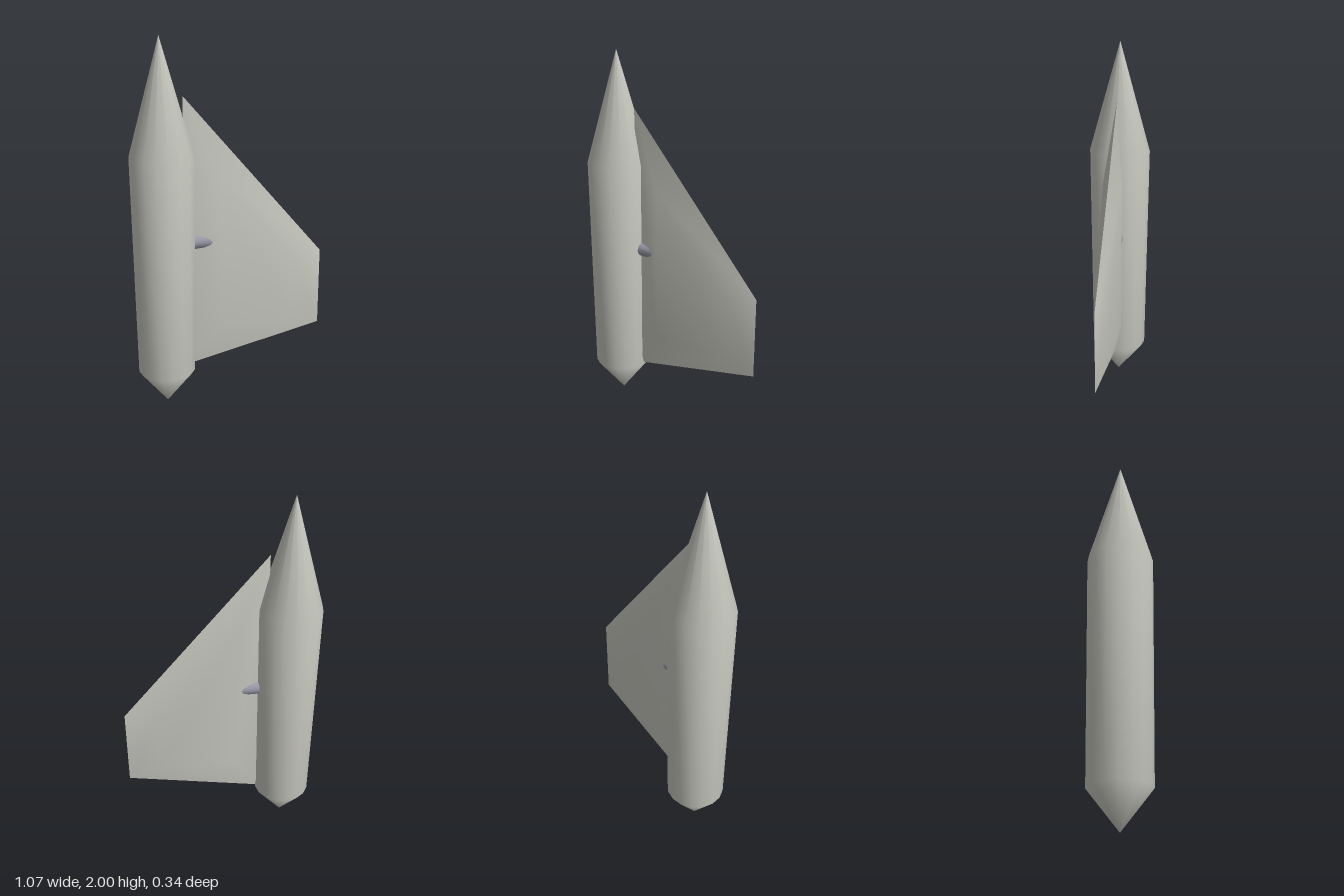
import * as THREE from 'three';

export function createModel() {
  const group = new THREE.Group();
  const hullGrey = new THREE.MeshStandardMaterial({ color: 0xc8c9c0 });
  const pinGrey = new THREE.MeshStandardMaterial({ color: 0x9a9aa8 });
  hullGrey.name = 'hull grey';
  pinGrey.name = 'pin grey';

  const add = (name, geometry, material, x = 0, y = 0) => {
    const mesh = new THREE.Mesh(geometry, material);
    mesh.name = name;
    mesh.position.set(x, y, 0);
    group.add(mesh);
    return mesh;
  };

  // Spindle body: pointed tail, slightly widening barrel, long nose
  const profile = [[0, 0], [0.157, 0.2], [0.17, 1.4], [0, 2]].map(p => new THREE.Vector2(...p));
  add('body', new THREE.LatheGeometry(profile, 16), hullGrey, -0.365);

  // Fin: sharp outline on z = 0, rising on each side to an inset ridge panel
  const outline = [[-0.25, 1.7, 0], [-0.25, 0.205, 0], [0.53, 0.365, 0], [0.53, 0.805, 0]];
  const ridge = [[-0.07, 1.28, 0.052], [-0.07, 0.45, 0.052], [0.36, 0.43, 0.028], [0.36, 0.78, 0.028]];
  const finSide = side => {
    const geometry = new THREE.BufferGeometry();
    const points = [...outline, ...ridge].flatMap(([x, y, z]) => [x, y, z * side]);
    geometry.setAttribute('position', new THREE.Float32BufferAttribute(points, 3));
    const index = [];
    const face = (a, b, c) => index.push(...(side > 0 ? [a, b, c] : [a, c, b]));
    for (let i = 0; i < 4; i++) {
      const j = (i + 1) % 4;
      face(i, j, j + 4);
      face(i, j + 4, i + 4);
    }
    face(4, 5, 6);
    face(4, 6, 7);
    geometry.setIndex(index);
    geometry.computeVertexNormals();
    return geometry;
  };
  add('finFront', finSide(1), hullGrey);
  add('finBack', finSide(-1), hullGrey);

  // Hinge pin running from the body into the fin root
  const pin = add('hingePin', new THREE.CylinderGeometry(0.041, 0.041, 0.25, 16), pinGrey, -0.185, 0.925);
  pin.rotation.z = Math.PI / 2;

  return group;
}
